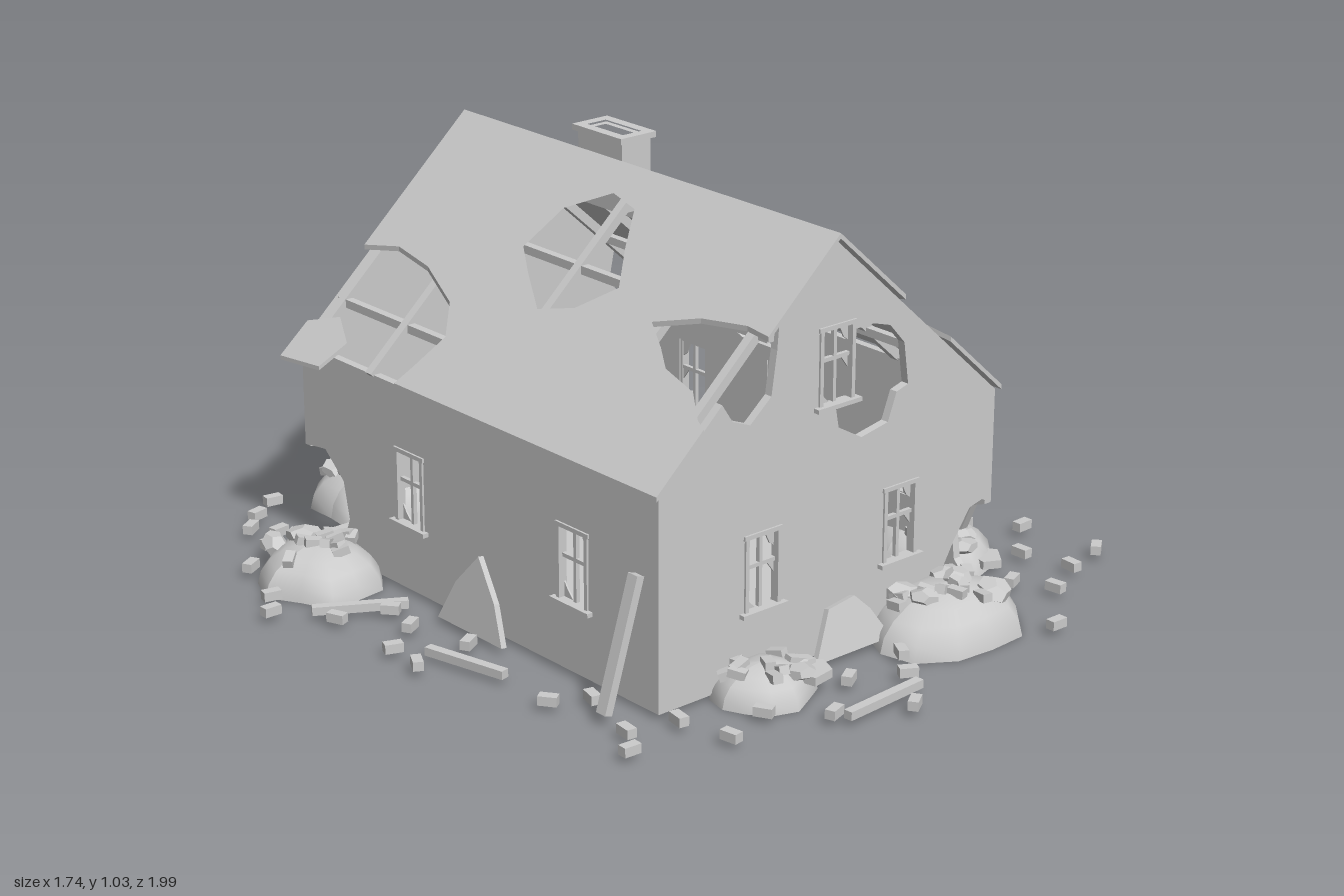
import * as THREE from 'three';

const mat = new THREE.MeshStandardMaterial({ color: 0xcccccc, flatShading: true });
const smoothMat = new THREE.MeshStandardMaterial({ color: 0xcccccc, side: THREE.DoubleSide });
const T = 0.02; // wall thickness
const RIDGE = -0.055;
const roofY = (x) => 0.985 - Math.abs(x - RIDGE) * 0.9;

let seed = 7;
const rnd = (a = 0, b = 1) => {
  seed = (seed * 16807) % 2147483647;
  return a + (b - a) * (seed / 2147483647);
};

function add(parent, name, geo, material = mat) {
  const m = new THREE.Mesh(geo, material);
  m.name = name;
  parent.add(m);
  return m;
}

function box(parent, name, w, h, d, x, y, z, ry = 0, rz = 0) {
  const m = add(parent, name, new THREE.BoxGeometry(w, h, d));
  m.position.set(x, y, z);
  m.rotation.set(0, ry, rz, 'YXZ');
  return m;
}

// straight bar between two points
function bar(parent, name, a, b, w, h) {
  const p = new THREE.Vector3(...a), q = new THREE.Vector3(...b);
  const m = add(parent, name, new THREE.BoxGeometry(w, h, p.distanceTo(q)));
  m.position.copy(p).lerp(q, 0.5);
  m.lookAt(q);
  return m;
}

function extrude(pts, holes, depth) {
  const v = (list) => list.map(([x, y]) => new THREE.Vector2(x, y));
  const shape = new THREE.Shape(v(pts));
  holes.forEach((h) => shape.holes.push(new THREE.Path(v(h))));
  return new THREE.ExtrudeGeometry(shape, { depth, bevelEnabled: false });
}

// plate outlined in plan (x, z) whose underside follows a height rule
function plate(parent, name, pts, height, t, holes = []) {
  const flip = (l) => l.map(([x, z]) => [x, -z]);
  const geo = extrude(flip(pts), holes.map(flip), t);
  const p = geo.attributes.position;
  for (let i = 0; i < p.count; i++) {
    const x = p.getX(i), z = -p.getY(i);
    p.setXYZ(i, x, height(x, z) + p.getZ(i), z);
  }
  geo.computeVertexNormals();
  return add(parent, name, geo);
}

const rect = (x0, x1, y0, y1) => [[x0, y0], [x1, y0], [x1, y1], [x0, y1]];
const WIN = { w: 0.1, h: 0.175 };

// wall with window openings, frames, sills and glass shards; outer face at local z = 0
function wall(parent, name, pts, holes, windows, pos, ry) {
  const g = new THREE.Group();
  g.name = name;
  g.position.set(...pos);
  g.rotation.y = ry;
  parent.add(g);
  const openings = windows.map(([x, y]) => rect(x - WIN.w / 2, x + WIN.w / 2, y, y + WIN.h));
  const geo = extrude(pts, [...openings, ...holes], T);
  geo.translate(0, 0, -T);
  add(g, name + 'Panel', geo);
  for (const [x, y, glazed] of windows) {
    const { w, h } = WIN;
    for (const s of [-1, 1]) box(g, 'windowJamb', 0.01, h, 0.022, x + s * (w / 2 - 0.003), y + h / 2, -0.006);
    box(g, 'windowHead', w + 0.01, 0.01, 0.022, x, y + h, -0.006);
    box(g, 'windowSill', w + 0.03, 0.01, 0.03, x, y - 0.003, 0);
    box(g, 'windowMullion', 0.009, h, 0.01, x, y + h / 2, -0.01);
    box(g, 'windowTransom', w, 0.009, 0.01, x, y + h * 0.58, -0.01);
    const shards = [[[-0.05, 0], [-0.01, 0], [-0.03, 0.02], [-0.05, 0.05]],
      [[0.05, 0.17], [0.015, 0.17], [0.03, 0.14], [0.05, 0.125]], [[0.05, 0.06], [0.05, 0.1], [0.02, 0.1]]];
    for (const s of glazed ? [rect(-0.05, 0.05, 0, h)] : shards) {
      add(g, 'glass', extrude(s, [], 0.004)).position.set(x, y, -0.014);
    }
  }
  return g;
}

function buildWalls(house) {
  const apex = [RIDGE, 0.965];
  const gables = [[-0.19, 0.18], [0.155, 0.18]];
  // front: broken lower corner, notch at the roof line and a blown-out hole
  wall(house, 'frontWall', [[-0.555, 0.02], [0.31, 0.02], [0.29, 0.1], [0.33, 0.17], [0.38, 0.24], [0.42, 0.25],
    [0.45, 0.235], [0.45, 0.51], apex, [-0.22, 0.82], [-0.225, 0.76], [-0.24, 0.66], [-0.3, 0.61], [-0.35, 0.63],
    [-0.38, 0.675], [-0.555, 0.515]],
  [[[0.004, 0.755], [0.06, 0.755], [0.11, 0.74], [0.155, 0.69], [0.17, 0.59], [0.135, 0.58], [0.11, 0.515], [0.03, 0.5],
    [-0.04, 0.54], [-0.05, 0.59], [0.004, 0.6]]],
  [[-0.26, 0.18], [0.155, 0.18], [-0.05, 0.6]], [0, 0, 0.64], 0);
  // back (local x is mirrored)
  wall(house, 'backWall', [[-0.45, 0.02], [0.43, 0.02], [0.41, 0.1], [0.45, 0.2], [0.51, 0.25], [0.555, 0.26],
    [0.555, 0.515], [-RIDGE, 0.965], [-0.39, 0.565], [-0.37, 0.47], [-0.41, 0.42], [-0.45, 0.43]],
  [], [[-0.155, 0.18], [0.29, 0.18, true], [0.05, 0.6]], [0, 0, -0.63], Math.PI);
  // right (local x = -z): doorway and breaks below the eaves
  wall(house, 'rightWall', [[-0.64, 0.235], [-0.6, 0.22], [-0.57, 0.15], [-0.54, 0.14], [-0.55, 0.07], [-0.6, 0.02],
    [-0.11, 0.02], [-0.11, 0.385], [0.09, 0.385], [0.09, 0.02], [0.63, 0.02], [0.63, 0.43], [0.58, 0.44], [0.5, 0.46],
    [0.43, 0.47], [0.42, 0.51], [0.28, 0.51], [0.26, 0.45], [0.18, 0.42], [0.02, 0.42], [-0.03, 0.46], [-0.04, 0.51],
    [-0.64, 0.51]], [], [[-0.38, 0.18], [0.36, 0.18]], [0.45, 0, 0], Math.PI / 2);
  // left (local x = z)
  wall(house, 'leftWall', [[-0.5, 0.02], [0.64, 0.02], [0.64, 0.51], [-0.63, 0.51], [-0.63, 0.26], [-0.55, 0.27],
    [-0.48, 0.21], [-0.46, 0.12]], [], [[-0.22, 0.18], [0.36, 0.18]], [-0.555, 0, 0], -Math.PI / 2);
  box(house, 'floor', 1.0, 0.012, 1.265, -0.052, 0.022, 0.005);

  // door frame and door left ajar
  for (const z of [0.108, -0.088]) box(house, 'doorJamb', 0.03, 0.37, 0.012, 0.447, 0.2, z);
  box(house, 'doorHead', 0.03, 0.012, 0.208, 0.447, 0.388, 0.01);
  box(house, 'door', 0.012, 0.35, 0.17, 0.49, 0.2, -0.01, 0.42);
  box(house, 'doorHandle', 0.015, 0.01, 0.03, 0.525, 0.19, 0.045, 0.42);
}

function buildRoof(house) {
  const under = (d) => (x) => roofY(x) - d;
  plate(house, 'leftRoof', [[RIDGE, -0.64], [RIDGE, 0.65], [-0.26, 0.65], [-0.255, 0.58], [-0.27, 0.45], [-0.305, 0.33],
    [-0.34, 0.4], [-0.37, 0.45], [-0.39, 0.56], [-0.43, 0.62], [-0.44, 0.65], [-0.57, 0.65], [-0.57, -0.25],
    [-0.53, -0.23], [-0.46, -0.2], [-0.4, -0.26], [-0.355, -0.4], [-0.34, -0.53], [-0.36, -0.64]], under(0.012), 0.012,
  [[[-0.26, -0.165], [-0.17, -0.13], [-0.115, -0.02], [-0.13, 0.07], [-0.2, 0.12], [-0.27, 0.18], [-0.33, 0.1],
    [-0.355, 0], [-0.3, -0.1]]]);
  plate(house, 'rightRoof', [[RIDGE, 0.65], [RIDGE, -0.64], [0.46, -0.64], [0.46, -0.19], [0.41, -0.17], [0.36, -0.1],
    [0.34, -0.04], [0.37, 0.03], [0.42, 0.08], [0.46, 0.08], [0.46, 0.65], [0.29, 0.65], [0.27, 0.59], [0.24, 0.52],
    [0.16, 0.6], [0.145, 0.65]], under(0.012), 0.012);
  // bent and hanging roof pieces
  plate(house, 'raisedRoofPiece', [[0.33, -0.04], [0.36, -0.15], [0.42, -0.18], [0.46, -0.16], [0.45, -0.05]],
    (x) => 0.635 - (x - 0.33) * 0.65, 0.01);
  plate(house, 'hangingRoofPiece', [[-0.53, -0.64], [-0.5, -0.55], [-0.54, -0.47], [-0.6, -0.5], [-0.61, -0.64]],
    (x) => 0.55 + (x + 0.53) * 0.85, 0.01);
  // rafters and purlins
  for (const z of [-0.6, -0.36, 0.01, 0.34, 0.59]) {
    for (const s of [-1, 1]) {
      const x = RIDGE + s * 0.5;
      bar(house, 'rafter', [RIDGE, 0.955, z], [x, roofY(x) - 0.03, z], 0.022, 0.022);
    }
  }
  for (const d of [0.18, 0.39]) {
    for (const s of [-1, 1]) box(house, 'purlin', 0.02, 0.02, 1.25, RIDGE + s * d, roofY(RIDGE + d) - 0.036, 0.005);
  }
  // hollow chimney with a rim
  plate(house, 'chimney', rect(-0.055, 0.03, -0.215, -0.06), () => 0.86, 0.17, [rect(-0.04, 0.015, -0.2, -0.075)]);
  plate(house, 'chimneyRim', rect(-0.065, 0.04, -0.225, -0.052), () => 1.026, 0.014, [rect(-0.04, 0.015, -0.2, -0.075)]);
}

// irregular low dome with bricks and stones on it
function mound(parent, x, z, rx, rz, h, stones) {
  const g = new THREE.Group();
  g.name = 'rubbleMound';
  g.position.set(x, 0.005, z);
  parent.add(g);
  const n = 12, rad = Array.from({ length: n }, () => rnd(0.86, 1.08));
  const geo = new THREE.SphereGeometry(1, n, 5, 0, Math.PI * 2, 0, Math.PI / 2);
  const p = geo.attributes.position;
  for (let i = 0; i < p.count; i++) {
    const k = rad[(i % (n + 1)) % n];
    p.setXYZ(i, p.getX(i) * rx * k, p.getY(i) * h, p.getZ(i) * rz * k);
  }
  geo.computeVertexNormals();
  add(g, 'moundBody', geo, smoothMat);
  for (let i = 0; i < 12 + stones; i++) {
    const a = rnd(0, 6.28), r = rnd(0.15, 0.85), y = h * Math.sqrt(1 - r * r);
    const px = Math.cos(a) * r * rx, pz = Math.sin(a) * r * rz;
    if (i < 12) box(g, 'brick', 0.04, 0.02, 0.024, px, y + 0.004, pz, rnd(0, 3), rnd(-0.4, 0.4));
    else {
      const m = add(g, 'stone', new THREE.DodecahedronGeometry(1));
      m.scale.set(rnd(0.03, 0.055), rnd(0.014, 0.025), rnd(0.03, 0.05));
      m.position.set(px, y, pz);
      m.rotation.set(rnd(-0.3, 0.3), rnd(0, 3), 0);
    }
  }
}

function buildDebris(debris) {
  for (const m of [[-0.28, -0.72, 0.17, 0.17, 0.11, 3], [-0.66, -0.43, 0.15, 0.17, 0.1, 2], [0.42, -0.66, 0.18, 0.14, 0.11, 3],
    [0.51, -0.53, 0.09, 0.1, 0.09, 1], [0.48, -0.21, 0.08, 0.11, 0.085, 2], [0.5, 0.38, 0.15, 0.17, 0.1, 3],
    [0.24, 0.71, 0.2, 0.16, 0.115, 5], [-0.3, 0.69, 0.12, 0.11, 0.08, 3]]) mound(debris, ...m);
  // fallen plaster slabs
  const flat = () => 0.02;
  plate(debris, 'fallenSlab', [[0.53, -0.01], [0.58, -0.1], [0.64, -0.24], [0.71, -0.25], [0.73, -0.14], [0.7, 0.01], [0.63, 0.03]], flat, 0.02);
  plate(debris, 'fallenSlab', [[0.52, 0.56], [0.53, 0.49], [0.57, 0.48], [0.6, 0.53], [0.56, 0.58]], flat, 0.02);
  plate(debris, 'fallenSlab', [[-0.25, 0.75], [-0.2, 0.7], [-0.16, 0.73], [-0.18, 0.78], [-0.24, 0.79]], () => 0.04, 0.02);
  const lean = [[-0.12, 0], [0.11, 0], [0.06, 0.08], [0.02, 0.12], [-0.06, 0.11]];
  const front = add(debris, 'leaningSlab', extrude(lean, [], 0.015));
  front.position.set(-0.02, 0.02, 0.675);
  front.rotation.x = -0.25;
  const side = add(debris, 'leaningSlab', extrude([[-0.12, 0], [0.11, 0], [0.07, 0.09], [0, 0.18], [-0.07, 0.1]], [], 0.015));
  side.position.set(-0.59, 0.02, 0.06);
  side.rotation.set(-0.14, -Math.PI / 2, 0, 'YXZ');
  const stone = add(debris, 'stone', new THREE.DodecahedronGeometry(1));
  stone.scale.set(0.05, 0.02, 0.025);
  stone.position.set(0.03, 0.04, -0.675);
  // beams leaning on the walls
  bar(debris, 'leaningBeam', [0.545, 0.03, 0.225], [0.462, 0.305, 0.225], 0.045, 0.02);
  bar(debris, 'leaningBeam', [0.52, 0.03, -0.6], [0.46, 0.33, -0.6], 0.015, 0.015);
  bar(debris, 'leaningBeam', [-0.655, 0.03, 0.58], [-0.565, 0.325, 0.58], 0.03, 0.02);
  // planks on the ground: x, z of both ends
  for (const [a, b, c, d] of [[-0.09, -0.78, 0.04, -0.96], [0.58, -0.86, 0.77, -0.73], [0.69, -0.43, 0.81, -0.24],
    [-0.81, -0.26, -0.62, -0.15], [-0.74, 0.08, -0.69, 0.29], [-0.27, 0.92, -0.04, 0.905]]) {
    bar(debris, 'plank', [a, 0.03, b], [c, 0.03, d], 0.022, 0.02);
  }
  // scattered bricks
  const spots = [[-0.12, -0.98], [-0.23, -0.89], [-0.5, -0.86], [-0.58, -0.81], [-0.64, -0.75], [-0.6, -0.69], [-0.66, -0.64],
    [-0.69, -0.55], [-0.04, -0.79], [0.18, -0.75], [0.25, -0.76], [0.37, -0.84], [0.44, -0.81], [0.59, -0.84], [0.5, -0.75],
    [0.65, -0.71], [0.74, -0.62], [0.64, -0.52], [0.71, -0.43], [0.56, -0.34], [0.7, -0.34], [0.82, -0.21], [0.8, -0.09],
    [-0.77, -0.56], [-0.83, -0.39], [-0.88, -0.32], [-0.79, -0.19], [-0.67, -0.15], [-0.69, -0.05], [-0.79, 0.02],
    [-0.65, 0.11], [-0.8, 0.12], [-0.7, 0.45], [-0.62, 0.5], [-0.67, 0.67], [-0.72, 0.74], [-0.55, 0.7], [-0.52, 0.83],
    [-0.39, 0.79], [-0.28, 0.89], [-0.14, 0.79], [-0.12, 0.97], [-0.02, 0.85], [0.04, 0.77], [0.41, 0.89], [0.56, 0.75],
    [0.51, 0.66], [0.68, 0.69], [0.65, 0.56], [0.77, 0.45], [0.68, 0.34], [0.74, 0.23], [0.66, 0.21], [0.8, 0.66]];
  for (const [x, z] of spots) box(debris, 'brick', 0.043, 0.022, 0.024, x, 0.031, z, rnd(0, 3.14));
}

export function createModel() {
  const model = new THREE.Group();
  model.name = 'ruinedHouse';
  for (const [name, build] of [['walls', buildWalls], ['roof', buildRoof], ['debris', buildDebris]]) {
    const g = new THREE.Group();
    g.name = name;
    build(g);
    model.add(g);
  }
  return model;
}
